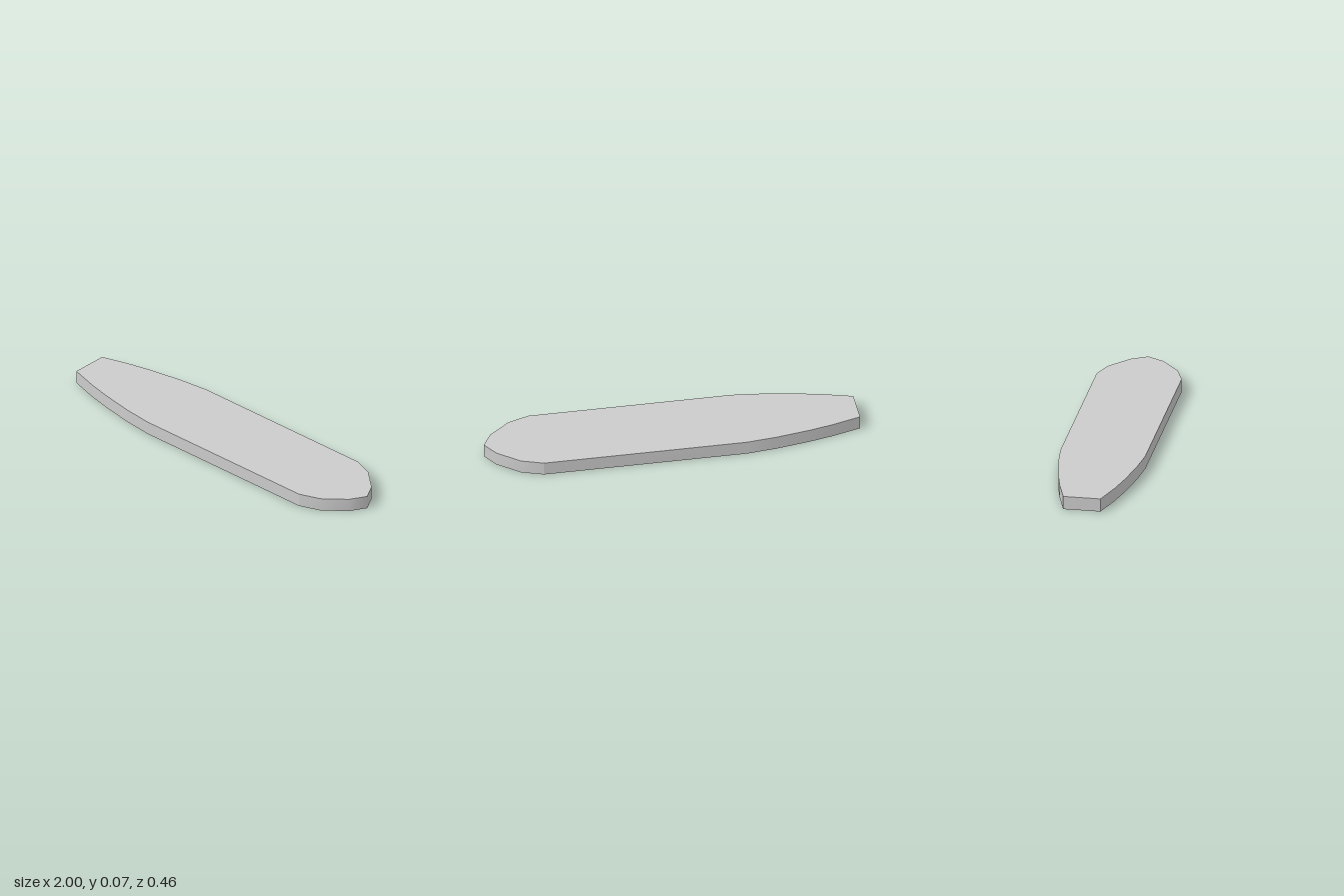
import * as THREE from 'three';

const HEIGHT = 0.072;
// half outlines as [x, z], running from stern to nose tip
const TAIL = [[-1, 0.1], [-0.84, 0.148], [-0.71, 0.178], [-0.53, 0.21], [-0.37, 0.228]];
const NOSE = [[0.72, 0.228], [0.835, 0.186], [0.95, 0.088], [1, 0]];

const mirror = (pts) => pts.map(([x, z]) => [x, -z]).reverse();

// upright strip along a path, smooth within itself, with hard edges at its ends
function wall(path) {
  const positions = [], index = [];
  path.forEach(([x, z], i) => {
    positions.push(x, 0, z, x, HEIGHT, z);
    if (i > 0) {
      const b = 2 * i, a = b - 2;
      index.push(a, b, b + 1, a, b + 1, a + 1);
    }
  });
  const geometry = new THREE.BufferGeometry();
  geometry.setAttribute('position', new THREE.Float32BufferAttribute(positions, 3));
  geometry.setIndex(index);
  geometry.computeVertexNormals();
  return geometry;
}

export function createModel() {
  const group = new THREE.Group();
  group.name = 'hullSlab';
  const material = new THREE.MeshStandardMaterial({ color: 0xcccccc });
  const add = (name, geometry) => {
    const mesh = new THREE.Mesh(geometry, material);
    mesh.name = name;
    group.add(mesh);
    return mesh;
  };

  const side = [...TAIL, NOSE[0]];
  const nose = [...NOSE, ...mirror(NOSE).slice(1)];

  // flat deck and underside
  const outline = [...TAIL, ...nose, ...mirror(TAIL)];
  const shape = new THREE.Shape(outline.map(([x, z]) => new THREE.Vector2(x, -z)));
  add('deck', new THREE.ShapeGeometry(shape).rotateX(-Math.PI / 2)).position.y = HEIGHT;
  add('underside', new THREE.ShapeGeometry(shape).rotateX(Math.PI / 2));

  // walls around the outline
  add('frontSide', wall(side));
  add('nose', wall(nose));
  add('backSide', wall(mirror(side)));
  add('stern', wall([[-1, -0.1], [-1, 0.1]]));

  return group;
}
